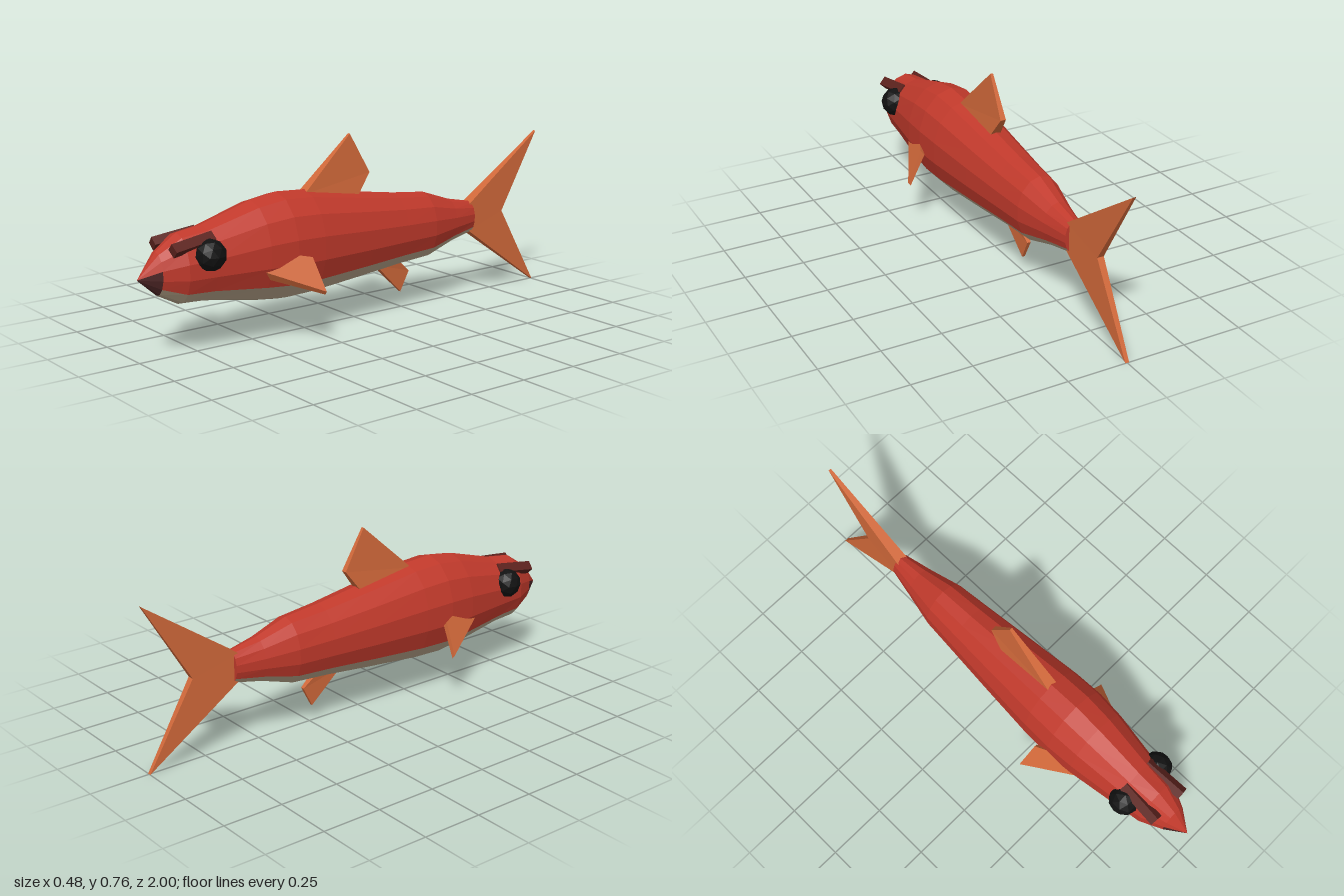
import * as THREE from 'three';

const SIDES = 14;
const material = (color, extra = {}) =>
  new THREE.MeshStandardMaterial({ color, flatShading: true, ...extra });
const RED = material(0xc0392b), BELLY = material(0xb8a58a), NOSE = material(0x4a2424);
const BROW = material(0x5c221d), EYE = material(0x111111);
const FIN = material(0xd2693a, { side: THREE.DoubleSide });

// Body stations from nose to tail: z, top y, bottom y, half width
const STATIONS = [
  [1.0, 0.318, 0.318, 0], [0.92, 0.415, 0.247, 0.056], [0.83, 0.475, 0.2, 0.098],
  [0.72, 0.49, 0.195, 0.115], [0.5, 0.555, 0.157, 0.148], [0.38, 0.573, 0.143, 0.157],
  [0.25, 0.565, 0.147, 0.153], [0, 0.525, 0.17, 0.132], [-0.2, 0.495, 0.19, 0.114],
  [-0.36, 0.478, 0.2, 0.1], [-0.5, 0.43, 0.245, 0.068], [-0.62, 0.405, 0.27, 0.042],
];

function meshFrom(name, triangles, mat) {
  const geometry = new THREE.BufferGeometry().setFromPoints(triangles);
  geometry.computeVertexNormals();
  const mesh = new THREE.Mesh(geometry, mat);
  mesh.name = name;
  return mesh;
}

function ringPoint(i, k) {
  const [z, top, bottom, half] = STATIONS[i];
  const a = (k / SIDES) * Math.PI * 2;
  return new THREE.Vector3(Math.sin(a) * half,
    (top + bottom) / 2 + Math.cos(a) * (top - bottom) / 2, z);
}

// Loft the stations, sorting the facets into back, belly and nose colours
function createBody() {
  const back = [], belly = [], nose = [];
  const last = STATIONS.length - 1;
  for (let i = 0; i < last; i++) {
    for (let k = 0; k < SIDES; k++) {
      const low = i === 0 ? k >= 3 && k < 11 : k >= 5 && k < 9;
      const target = !low ? back : i === 0 ? nose : belly;
      const a = ringPoint(i, k), b = ringPoint(i, k + 1);
      const c = ringPoint(i + 1, k), d = ringPoint(i + 1, k + 1);
      if (i > 0) target.push(a, b, c);
      target.push(b, d, c);
    }
  }
  // Flat end at the tail
  const centre = new THREE.Vector3(0, 0.3375, STATIONS[last][0]);
  for (let k = 0; k < SIDES; k++) {
    back.push(centre, ringPoint(last, k), ringPoint(last, k + 1));
  }
  const body = new THREE.Group();
  body.name = 'body';
  body.add(meshFrom('back', back, RED), meshFrom('belly', belly, BELLY),
    meshFrom('nose', nose, NOSE));
  return body;
}

// Solid between two matching outlines; both faces fan out from the first corner
function slab(name, outer, inner) {
  const t = [], n = outer.length;
  for (let i = 1; i < n - 1; i++) {
    t.push(outer[0], outer[i], outer[i + 1], inner[0], inner[i + 1], inner[i]);
  }
  for (let i = 0; i < n; i++) {
    const j = (i + 1) % n;
    t.push(outer[i], inner[i], inner[j], outer[i], inner[j], outer[j]);
  }
  return meshFrom(name, t, FIN);
}

// Upright fin on the centre line; points are z, y, half thickness
function centreFin(name, points) {
  const side = (s) => points.map(([z, y, h]) => new THREE.Vector3(s * h, y, z));
  return slab(name, side(1), side(-1));
}

// Side fin; points are x, y, z, thickness
function pectoralFin(name, s) {
  const points = [
    [0.172, 0.338, 0.33, 0.025], [0.14, 0.355, 0.41, 0.04],
    [0.13, 0.305, 0.535, 0.035], [0.241, 0.213, 0.315, 0.018],
  ];
  const outer = points.map(([x, y, z]) => new THREE.Vector3(s * x, y, z));
  const inner = points.map(([x, y, z, t]) =>
    new THREE.Vector3(s * (x - 0.6 * t), y - 0.8 * t, z - 0.1 * t));
  return s > 0 ? slab(name, outer, inner) : slab(name, inner, outer);
}

function createEye(name, s) {
  const eye = new THREE.Mesh(new THREE.IcosahedronGeometry(0.063, 1), EYE);
  eye.position.set(s * 0.092, 0.393, 0.74);
  eye.name = name;
  return eye;
}

// Slanted bar above the eye, rolled onto its edge
function createBrow(name, s) {
  const geometry = new THREE.BoxGeometry(0.037, 0.04, 0.18);
  geometry.rotateZ(s * Math.PI / 4);
  const brow = new THREE.Mesh(geometry, BROW);
  brow.position.set(s * 0.068, 0.438, 0.8);
  brow.lookAt(s * 0.08, 0.414, 0.98);
  brow.name = name;
  return brow;
}

export function createModel() {
  const model = new THREE.Group();
  model.name = 'fish';
  model.add(createBody());

  model.add(centreFin('dorsalFin', [
    [0.26, 0.55, 0.024], [0.0, 0.505, 0.024], [-0.07, 0.598, 0.012], [0.025, 0.763, 0.006],
  ]));
  model.add(centreFin('analFin', [
    [-0.1, 0.205, 0.018], [-0.24, 0.068, 0.006], [-0.283, 0.152, 0.008], [-0.21, 0.215, 0.018],
  ]));
  // Forked tail, starting at the notch
  model.add(centreFin('tailFin', [
    [-0.8, 0.34, 0.014], [-1, 0.672, 0.006], [-0.6, 0.395, 0.025],
    [-0.6, 0.28, 0.025], [-1, 0, 0.008],
  ]));

  for (const [label, s] of [['left', 1], ['right', -1]]) {
    model.add(pectoralFin(label + 'PectoralFin', s));
    model.add(createEye(label + 'Eye', s));
    model.add(createBrow(label + 'Brow', s));
  }
  return model;
}
